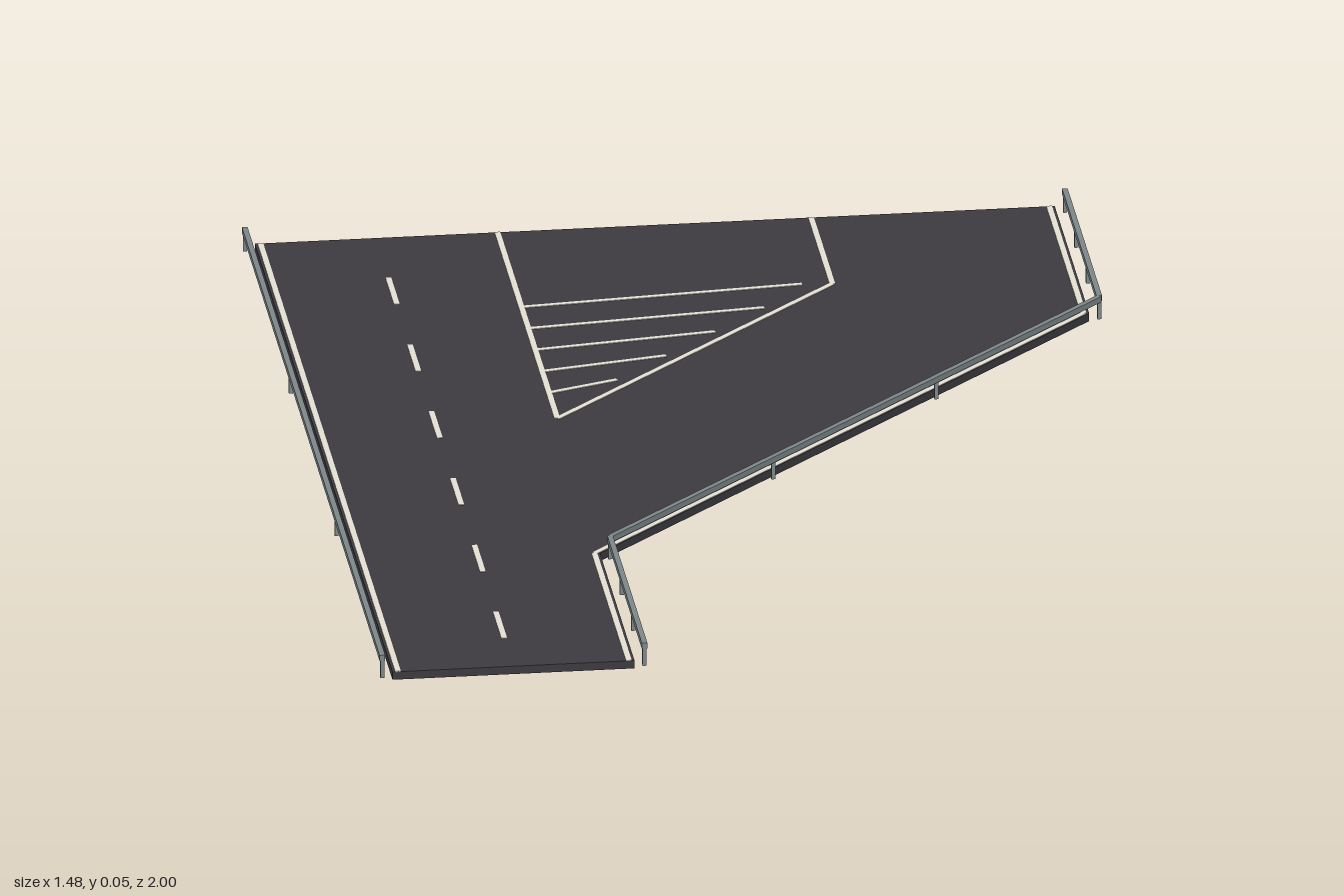
import * as THREE from 'three';

const DECK_TOP = 0.015;

export function createModel() {
  const model = new THREE.Group();
  model.name = 'roadJunction';
  const paint = (name, color) => {
    const m = new THREE.MeshStandardMaterial({ color });
    m.name = name;
    return m;
  };
  const asphalt = paint('asphalt', 0x3c3a40);
  const marking = paint('roadMarking', 0xe4e0d2);
  const steel = paint('railSteel', 0x7c8689);

  const group = (name) => {
    const g = new THREE.Group();
    g.name = name;
    model.add(g);
    return g;
  };

  // A straight bar on the ground plan from [x, z] to [x, z]
  function bar(parent, name, [x0, z0], [x1, z1], width, y0, y1, material) {
    const length = Math.hypot(x1 - x0, z1 - z0);
    const mesh = new THREE.Mesh(new THREE.BoxGeometry(width, y1 - y0, length), material);
    mesh.position.set((x0 + x1) / 2, (y0 + y1) / 2, (z0 + z1) / 2);
    mesh.rotation.y = Math.atan2(x1 - x0, z1 - z0);
    mesh.name = name;
    parent.add(mesh);
  }
  const line = (parent, name, a, b, width = 0.01) =>
    bar(parent, name, a, b, width, DECK_TOP - 0.001, DECK_TOP + 0.001, marking);

  // Right-hand boundary of the junction, shifted in from the guard rail
  const boundary = (inset) => {
    const x0 = -0.265 - inset, x1 = 0.733 - inset;
    return [[x0, 1], [x0, 0.499], [x1, -0.499], [x1, -1]];
  };

  // Road deck: straight carriageway with a diverging slip road
  const outline = [[-0.716, -1], [-0.716, 1], ...boundary(0.018)];
  const shape = new THREE.Shape(outline.map(([x, z]) => new THREE.Vector2(x, -z)));
  const deckGeometry = new THREE.ExtrudeGeometry(shape, { depth: DECK_TOP, bevelEnabled: false });
  deckGeometry.rotateX(-Math.PI / 2);
  const deck = new THREE.Mesh(deckGeometry, asphalt);
  deck.name = 'roadDeck';
  model.add(deck);

  // Edge lines
  const edges = group('edgeLines');
  line(edges, 'leftEdgeLine', [-0.706, -1], [-0.706, 1]);
  const edge = boundary(0.028);
  for (let i = 0; i < 3; i++) line(edges, 'slipEdgeLine', edge[i], edge[i + 1]);

  // Dashed lane divider
  const dashes = group('laneDashes');
  for (let i = 0; i < 6; i++) {
    const z = -0.813 + i * 0.312;
    line(dashes, 'laneDash', [-0.5, z], [-0.5, z + 0.124]);
  }

  // Painted island between the two roads, with hatching
  const island = group('islandMarkings');
  const corners = [[-0.282, -1], [-0.282, -0.13], [0.279, -0.69], [0.279, -1]];
  for (let i = 0; i < 3; i++) line(island, 'islandLine', corners[i], corners[i + 1]);
  const hatchEnds = [0.225, 0.145, 0.045, -0.055, -0.155];
  hatchEnds.forEach((x, i) =>
    line(island, 'hatchLine', [-0.282, -0.65 + i * 0.1], [x, -0.695 + i * 0.1]));

  // Guard rails: a top beam along each run, and posts at its thirds
  function guardRail(name, path) {
    const rail = group(name);
    const post = ([x, z]) => {
      const mesh = new THREE.Mesh(new THREE.BoxGeometry(0.007, 0.037, 0.007), steel);
      mesh.position.set(x, 0.0225, THREE.MathUtils.clamp(z, -0.9965, 0.9965));
      mesh.name = 'railPost';
      rail.add(mesh);
    };
    for (let i = 0; i < path.length - 1; i++) {
      const [a, b] = [path[i], path[i + 1]];
      bar(rail, 'railBeam', a, b, 0.01, 0.037, 0.048, steel);
      for (let k = 0; k < 3; k++) {
        post([a[0] + (b[0] - a[0]) * k / 3, a[1] + (b[1] - a[1]) * k / 3]);
      }
    }
    post(path[path.length - 1]);
  }
  guardRail('rightGuardRail', [[-0.734, 1], [-0.734, -1]]);
  guardRail('leftGuardRail', boundary(0));

  return model;
}
